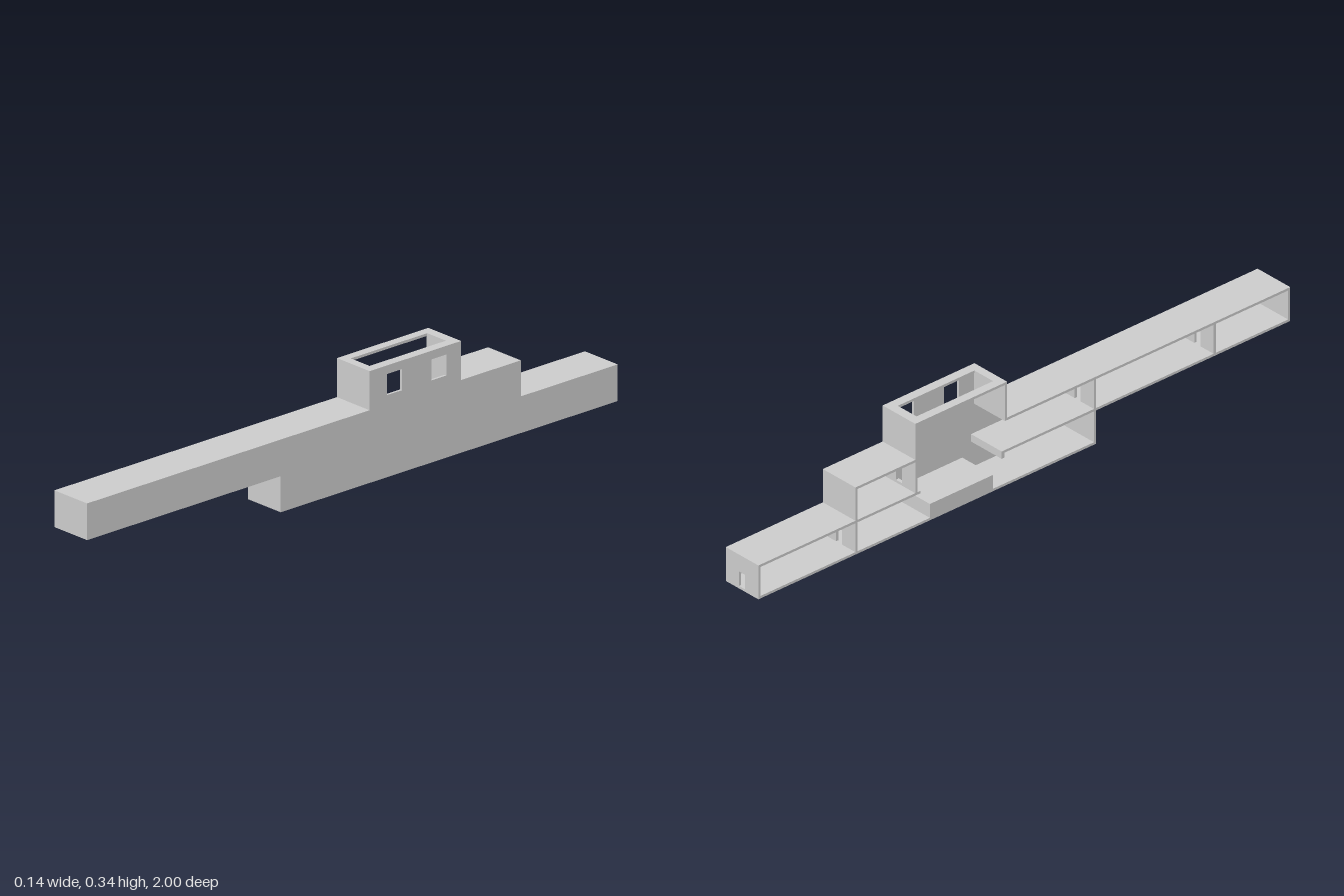
import * as THREE from 'three';

const W = 0.068;  // half width
const T = 0.008;  // wall thickness
const grey = new THREE.MeshStandardMaterial({ color: 0xcccccc, flatShading: true });

function rectPath(path, x0, y0, x1, y1) {
  path.moveTo(x0, y0);
  path.lineTo(x1, y0);
  path.lineTo(x1, y1);
  path.lineTo(x0, y1);
  path.closePath();
  return path;
}

export function createModel() {
  const group = new THREE.Group();

  function add(name, geometry) {
    const mesh = new THREE.Mesh(geometry, grey);
    mesh.name = name;
    group.add(mesh);
  }

  // Box between two heights and two depths, as wide as the space inside the side wall
  function slab(name, y0, y1, z0, z1) {
    const x1 = W - T;
    const g = new THREE.BoxGeometry(x1 + W, y1 - y0, z1 - z0);
    g.translate((x1 - W) / 2, (y0 + y1) / 2, (z0 + z1) / 2);
    add(name, g);
  }

  // Cross wall with a central doorway
  function doorWall(name, y0, y1, z) {
    const s = rectPath(new THREE.Shape(), -W, y0, W - T, y1);
    s.holes.push(rectPath(new THREE.Path(), -0.0125, y0 + T, 0.0125, y0 + 0.055));
    const g = new THREE.ExtrudeGeometry(s, { depth: T, bevelEnabled: false });
    g.translate(0, 0, z);
    add(name, g);
  }

  // Long side wall with stepped outline and two tower windows
  const outline = [
    [-1, 0], [0.27, 0], [0.27, 0.108], [1, 0.108], [1, 0.218], [-0.065, 0.218],
    [-0.065, 0.335], [-0.41, 0.335], [-0.41, 0.218], [-0.635, 0.218], [-0.635, 0.11], [-1, 0.11],
  ];
  const side = new THREE.Shape(outline.map(([z, y]) => new THREE.Vector2(z, y)));
  for (const z of [-0.187, -0.355]) {
    side.holes.push(rectPath(new THREE.Path(), z, 0.246, z + 0.056, 0.309));
  }
  const sideGeo = new THREE.ExtrudeGeometry(side, { depth: T, bevelEnabled: false });
  sideGeo.rotateY(-Math.PI / 2);
  sideGeo.translate(W, 0, 0);
  add('sideWall', sideGeo);

  // Floors and roofs
  slab('lowerFloor', 0, T, -1, 0.27);
  slab('rearRoof', 0.11 - T, 0.11, -1, -0.635);
  slab('rearUpperFloor', 0.11 - T, 0.11, -0.635, -0.39);
  slab('frontUpperFloor', 0.108, 0.108 + T, -0.075, 1);
  slab('floorEdgeBeam', 0.092, 0.108 + T, -0.085, -0.075);
  slab('rearUpperRoof', 0.218 - T, 0.218, -0.635, -0.41);
  slab('frontRoof', 0.218 - T, 0.218, -0.065, 1);

  // Solid end walls
  slab('frontEndWall', 0.108, 0.218, 1 - T, 1);
  slab('lowerFrontWall', 0, 0.108, 0.27 - T, 0.27);
  slab('rearUpperWall', 0.11, 0.218, -0.635, -0.635 + T);
  slab('towerFrontWall', 0.218 - T, 0.335, -0.065 - T, -0.065);
  slab('towerRearWall', 0.218 - T, 0.335, -0.41, -0.41 + T);

  // Walls with doorways
  doorWall('rearEndWall', 0, 0.11, -1);
  doorWall('rearDivider', 0, 0.11, -0.635);
  doorWall('hallDivider', 0.11, 0.218, -0.41);
  doorWall('middleDivider', 0.108, 0.218, 0.27 - T);
  doorWall('frontDivider', 0.108, 0.218, 0.72 - T);

  // Raised platform under the tower
  slab('hallPlatform', T, 0.053, -0.355, -0.118);

  // Tower roof with rectangular opening
  const roof = rectPath(new THREE.Shape(), -W, 0.065, W - T, 0.41);
  roof.holes.push(rectPath(new THREE.Path(), -0.04, 0.092, 0.038, 0.38));
  const roofGeo = new THREE.ExtrudeGeometry(roof, { depth: T, bevelEnabled: false });
  roofGeo.rotateX(-Math.PI / 2);
  roofGeo.translate(0, 0.335 - T, 0);
  add('towerRoof', roofGeo);

  return group;
}
